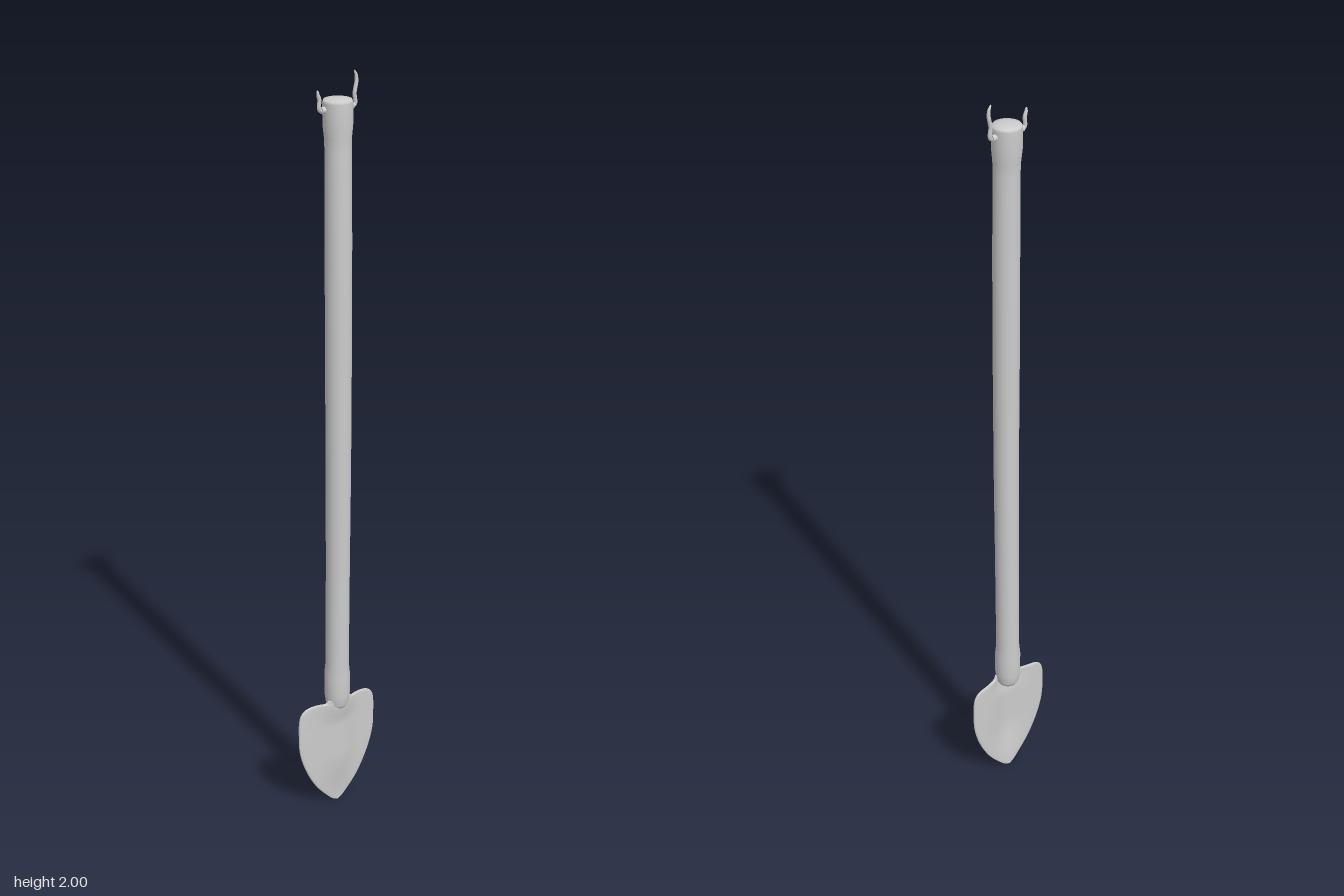
import * as THREE from 'three';

const material = new THREE.MeshStandardMaterial({ color: 0xcccccc, side: THREE.DoubleSide });

function addMesh(group, geometry, name) {
  const mesh = new THREE.Mesh(geometry, material);
  mesh.name = name;
  group.add(mesh);
  return mesh;
}

const V2 = (x, y) => new THREE.Vector2(x, y);
const V3 = (x, y, z) => new THREE.Vector3(x, y, z);

// Round pole with a flared top and a slight forward lean
function handleGeometry() {
  const profile = [
    [0.0001, 0.3], [0.025, 0.302], [0.03, 0.312], [0.034, 0.34], [0.034, 0.4], [0.031, 0.43],
    [0.031, 0.7], [0.032, 1.0], [0.033, 1.3], [0.033, 1.6], [0.032, 1.82], [0.033, 1.85],
    [0.036, 1.88], [0.036, 1.932], [0.034, 1.938], [0.02, 1.941], [0.0001, 1.942],
  ].map(([r, y]) => V2(r, y));
  const geometry = new THREE.LatheGeometry(profile, 32);
  const pos = geometry.attributes.position;
  for (let i = 0; i < pos.count; i++) {
    const y = pos.getY(i);
    const lean = -0.003 + 0.006 * THREE.MathUtils.smoothstep(y, 0.35, 1.0)
      - 0.003 * THREE.MathUtils.smoothstep(y, 1.7, 1.94);
    pos.setZ(i, pos.getZ(i) + lean);
  }
  geometry.computeVertexNormals();
  return geometry;
}

// Pointed blade: closed cross-sections stacked along its outline, with a central ridge
function bladeGeometry() {
  const outline = new THREE.CatmullRomCurve3([
    [0.001, 0], [0.014, 0.005], [0.036, 0.026], [0.066, 0.062], [0.093, 0.11], [0.112, 0.16], [0.12, 0.2],
    [0.121, 0.24], [0.12, 0.28], [0.115, 0.3], [0.104, 0.312], [0.09, 0.317], [0.06, 0.318], [0.042, 0.32], [0.034, 0.328],
  ].map(([x, y]) => V3(x, y, 0)), false, 'centripetal');
  const rows = 70, half = 24, ring = half * 2;
  const positions = [], indices = [];
  for (let r = 0; r <= rows; r++) {
    const p = outline.getPoint(r / rows);
    const ridge = 0.016 * THREE.MathUtils.smoothstep(p.y, 0, 0.16)
      + 0.008 * THREE.MathUtils.smoothstep(p.y, 0.25, 0.31);
    for (let i = 0; i < ring; i++) {
      const a = (i / ring) * Math.PI * 2;
      const x = Math.cos(a) * p.x;
      const thickness = 0.005 * Math.sign(Math.sin(a)) * Math.pow(Math.abs(Math.sin(a)), 0.35);
      const bulge = ridge * Math.exp(-Math.pow(x / 0.045, 2));
      positions.push(x, p.y, -0.006 + bulge + (Math.abs(Math.sin(a)) < 1e-6 ? 0 : thickness));
    }
  }
  for (let r = 0; r < rows; r++) {
    for (let i = 0; i < ring; i++) {
      const a = r * ring + i, b = r * ring + (i + 1) % ring;
      indices.push(a, a + ring, b, b, a + ring, b + ring);
    }
  }
  // Close the tip and the top edge
  for (const [row, flip] of [[0, false], [rows, true]]) {
    const s = row * ring;
    for (let i = 1; i < ring - 1; i++) {
      indices.push(s, s + (flip ? i + 1 : i), s + (flip ? i : i + 1));
    }
  }
  const geometry = new THREE.BufferGeometry();
  geometry.setAttribute('position', new THREE.Float32BufferAttribute(positions, 3));
  geometry.setIndex(indices);
  geometry.computeVertexNormals();
  return geometry;
}

// Tube whose thickness narrows to a point at the end
function taperedTube(points, radius) {
  const curve = new THREE.CatmullRomCurve3(points, false, 'centripetal');
  const segments = 32, sides = 10;
  const geometry = new THREE.TubeGeometry(curve, segments, radius, sides);
  const pos = geometry.attributes.position;
  const p = new THREE.Vector3();
  for (let s = 0; s <= segments; s++) {
    const t = s / segments;
    const centre = curve.getPointAt(t);
    const k = t < 0.6 ? 1 : Math.sqrt(Math.max(0.001, 1 - Math.pow((t - 0.6) / 0.4, 2)));
    for (let i = 0; i <= sides; i++) {
      const n = s * (sides + 1) + i;
      p.fromBufferAttribute(pos, n).sub(centre).multiplyScalar(k).add(centre);
      pos.setXYZ(n, p.x, p.y, p.z);
    }
  }
  geometry.computeVertexNormals();
  return geometry;
}

export function createModel() {
  const model = new THREE.Group();
  model.name = 'shovel';

  addMesh(model, handleGeometry(), 'handle');
  addMesh(model, bladeGeometry(), 'blade');

  // Upright prongs on either side of the handle top, the left one taller
  const prongs = {
    leftProng: [V3(0.03, 1.916, 0), V3(0.046, 1.916, 0), V3(0.051, 1.922, 0),
      V3(0.049, 1.945, 0), V3(0.054, 1.972, 0), V3(0.053, 1.988, 0), V3(0.047, 2, 0)],
    rightProng: [V3(-0.03, 1.916, 0), V3(-0.046, 1.916, 0), V3(-0.051, 1.922, 0),
      V3(-0.05, 1.942, 0), V3(-0.054, 1.956, 0), V3(-0.055, 1.966, 0)],
  };
  for (const [name, points] of Object.entries(prongs)) {
    const group = new THREE.Group();
    group.name = name;
    group.position.z = -0.002;
    addMesh(group, taperedTube(points, 0.005), name + 'Hook');
    const boss = addMesh(group, new THREE.CylinderGeometry(0.008, 0.008, 0.012, 16), name + 'Boss');
    boss.rotation.z = Math.PI / 2;
    boss.position.set(Math.sign(points[0].x) * 0.039, 1.917, 0);
    model.add(group);
  }
  return model;
}
